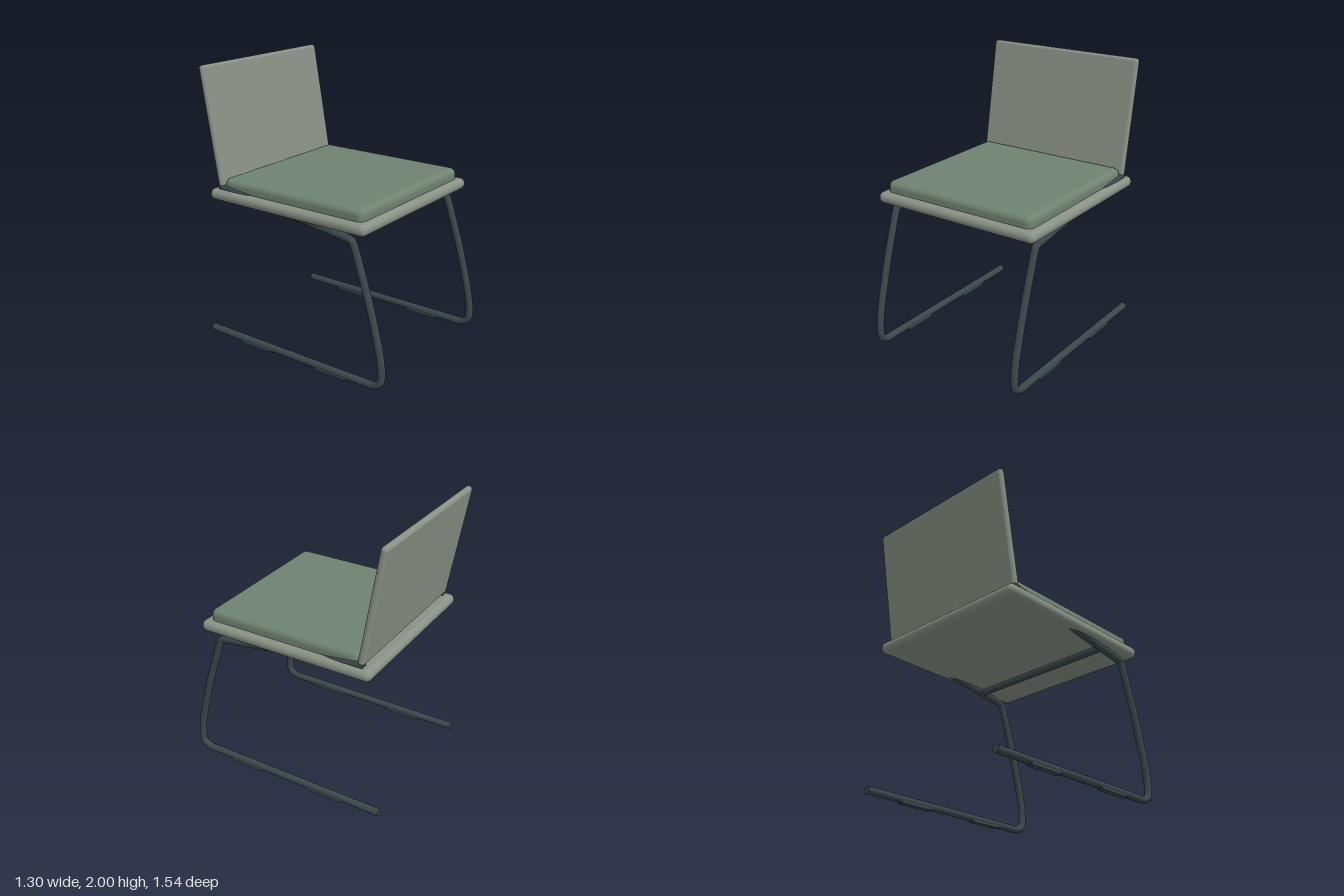
import * as THREE from 'three';
import { RoundedBoxGeometry } from 'three/addons/geometries/RoundedBoxGeometry.js';

const shellMat = new THREE.MeshStandardMaterial({ color: 0x8a9186 });
const cushionMat = new THREE.MeshStandardMaterial({ color: 0x6f8371 });
const frameMat = new THREE.MeshStandardMaterial({ color: 0x3a474b });

const TUBE_R = 0.027;
const LEG_X = 0.59;

function part(name, geometry, material, x = 0, y = 0, z = 0) {
  const mesh = new THREE.Mesh(geometry, material);
  mesh.name = name;
  mesh.position.set(x, y, z);
  return mesh;
}

// One side of the cantilever frame: floor runner, bowed front leg, seat rail
function sideFrame(name, x) {
  const side = new THREE.Group();
  side.name = name;
  side.position.x = x;
  const path = [
    [-0.76, 0.031], [-0.1, 0.031], [0.6, 0.031], [0.68, 0.032], [0.735, 0.062], [0.747, 0.13],
    [0.734, 0.25], [0.695, 0.42], [0.632, 0.65], [0.574, 0.83], [0.525, 0.975],
    [0.505, 1.012], [0.46, 1.022], [0.4, 1.03], [-0.1, 1.099], [-0.62, 1.158],
  ].map(([z, y]) => new THREE.Vector3(0, y, z));
  const curve = new THREE.CatmullRomCurve3(path);
  side.add(part('legTube', new THREE.TubeGeometry(curve, 140, TUBE_R, 14), frameMat));

  // Closed tube ends
  for (const t of [0, 1]) {
    const cap = part('tubeEnd', new THREE.CircleGeometry(TUBE_R, 14), frameMat);
    const outward = curve.getTangentAt(t).multiplyScalar(t ? 1 : -1);
    cap.position.copy(curve.getPointAt(t));
    cap.quaternion.setFromUnitVectors(new THREE.Vector3(0, 0, 1), outward);
    side.add(cap);
  }

  // Floor glides
  for (const z of [0.335, -0.335])
    side.add(part('glide', new THREE.BoxGeometry(0.046, 0.02, 0.27), frameMat, 0, 0.01, z));
  return side;
}

export function createModel() {
  const chair = new THREE.Group();
  chair.name = 'chair';

  // Seat and cushion
  chair.add(part('seat', new RoundedBoxGeometry(1.3, 0.082, 1.33, 5, 0.04), shellMat, 0, 1.108, -0.025));
  chair.add(part('cushion', new RoundedBoxGeometry(1.2, 0.12, 1.18, 5, 0.046), cushionMat, 0, 1.17, 0));

  // Backrest leaning to the rear
  const back = part('backrest', new RoundedBoxGeometry(1.235, 0.85, 0.05, 4, 0.024), shellMat, 0, 1.581, -0.675);
  back.rotation.x = -0.172;
  chair.add(back);

  // Frame sides joined under the seat
  chair.add(sideFrame('leftFrame', LEG_X), sideFrame('rightFrame', -LEG_X));
  const bar = part('crossBar', new THREE.CylinderGeometry(0.025, 0.025, LEG_X * 2, 14), frameMat, 0, 1.045, 0.29);
  bar.rotation.z = Math.PI / 2;
  chair.add(bar);

  return chair;
}
